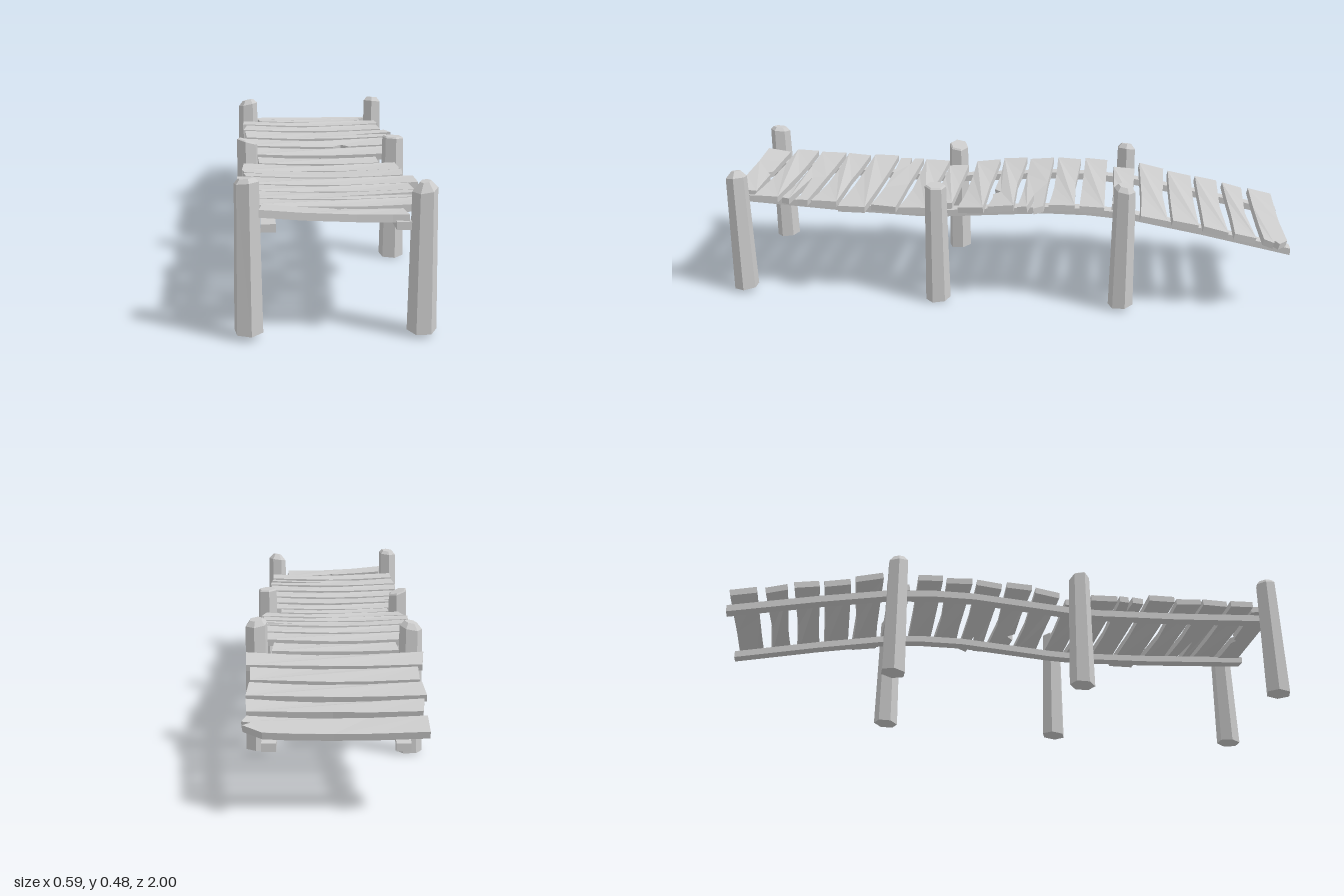
import * as THREE from 'three';

const wood = new THREE.MeshStandardMaterial({ color: 0xcccccc, flatShading: true });

// underside of the walkway as [z, y], front to back
const railLine = [[1, 0.333], [0.9, 0.326], [0.6, 0.308], [0.3, 0.297], [0.2, 0.3], [0, 0.315],
  [-0.15, 0.326], [-0.3, 0.325], [-0.45, 0.313], [-0.7, 0.268], [-1, 0.207]];
const RAIL = 0.024;

function railY(z) {
  for (let i = 0; i < railLine.length - 1; i++) {
    const [za, ya] = railLine[i], [zb, yb] = railLine[i + 1];
    if (z >= zb) return ya + (yb - ya) * (z - za) / (zb - za);
  }
  return railLine.at(-1)[1];
}

function seeded(seed) {
  return () => {
    seed = (seed * 16807) % 2147483647;
    return (seed / 2147483647) * 2 - 1;
  };
}

// planks: back z, front z, left x, right x, and splits as [x, s] points (s runs to the back)
const planks = [
  [-0.985, -0.895, -0.272, 0.25, { right: [[0.262, -0.012], [0.235, -0.008], [0.258, 0.008], [0.2, 0.043]] }],
  [-0.87, -0.795, -0.265, 0.265],
  [-0.775, -0.69, -0.278, 0.262],
  [-0.675, -0.585, -0.268, 0.262],
  [-0.57, -0.475, -0.288, 0.288],
  [-0.46, -0.38, -0.215, 0.2],
  [-0.355, -0.27, -0.275, 0.258],
  [-0.255, -0.165, -0.265, 0.262],
  [-0.15, -0.06, -0.265, 0.27, { right: [[0.268, -0.012], [0.13, 0.002], [0.288, 0.012]] }],
  [-0.045, 0.045, -0.28, 0.258, { front: [[0.055, -0.043], [0.085, -0.018], [0.112, -0.043]] }],
  [0.06, 0.15, -0.265, 0.26],
  [0.18, 0.255, -0.22, 0.2],
  [0.265, 0.36, -0.272, 0.262],
  [0.37, 0.46, -0.27, 0.26, { left: [[-0.268, 0.01], [-0.2, 0.002], [-0.27, -0.004]] }],
  [0.475, 0.57, -0.29, 0.288],
  [0.585, 0.675, -0.272, 0.262],
  [0.685, 0.78, -0.27, 0.262, { right: [[0.262, -0.02], [0.01, -0.008], [0.262, 0.012]] }],
  [0.795, 0.88, -0.265, 0.262],
  [0.895, 0.988, -0.218, 0.203, { back: [[0.02, 0.041], [0.003, 0.026], [-0.012, 0.041]] }],
];

function makePlank([z0, z1, x0, x1, cut = {}], index) {
  const rnd = seeded(977 + index * 7919);
  rnd();
  const h = (z1 - z0) / 2, zc = (z0 + z1) / 2, skew = rnd() * 0.009;
  const bow = 0.003 + 0.003 * rnd();
  // outline counter-clockwise: front edge, right end, back edge, left end
  const outline = [
    [x0 + skew, -h], [-0.1, -h + bow], ...(cut.front ?? [[0.05, -h + bow * 1.5]]), [0.15, -h + bow],
    [x1 - Math.abs(skew), -h], ...(cut.right ?? []), ...(cut.right && index === 0 ? [] : [[x1 - 0.006 + skew, h]]),
    [0.12, h - bow], ...(cut.back ?? [[0, h - bow * 2]]), [-0.12, h - bow],
    [x0 - skew * 0.5, h], ...(cut.left ?? []),
  ];
  const shape = new THREE.Shape(outline.map(p => new THREE.Vector2(...p)));
  const geo = new THREE.ExtrudeGeometry(shape, { depth: 0.022, bevelEnabled: false, steps: 1 });
  geo.rotateX(-Math.PI / 2);
  // worn boards sag towards the middle
  const pos = geo.attributes.position;
  for (let i = 0; i < pos.count; i++) {
    const x = pos.getX(i);
    pos.setY(i, pos.getY(i) + 0.009 * Math.min(1, (x / 0.25) ** 2) - 0.003);
  }
  const mesh = new THREE.Mesh(geo, wood);
  mesh.name = 'plank';
  const slope = Math.atan2(railY(z1) - railY(z0), z1 - z0);
  mesh.position.set(0, railY(zc) + RAIL + 0.001, zc);
  mesh.rotation.set(-slope + rnd() * 0.02, 0, index === planks.length - 1 ? -0.045 : rnd() * 0.02);
  return mesh;
}

function makeRail(x) {
  const top = railLine.map(([z, y]) => [z, y + RAIL]).reverse();
  const shape = new THREE.Shape([...railLine].reverse().concat(top.reverse()).map(p => new THREE.Vector2(...p)));
  const geo = new THREE.ExtrudeGeometry(shape, { depth: 0.042, bevelEnabled: false });
  geo.rotateY(-Math.PI / 2).translate(x + 0.021, 0, 0);
  const mesh = new THREE.Mesh(geo, wood);
  mesh.name = 'rail';
  return mesh;
}

// posts: x, z, bottom, top, cap chamfer, cap slant in x and z
const posts = [
  [-0.256, 0.942, 0.02, 0.475, 0.013, 0.1, 0.1],
  [0.246, 0.942, 0.013, 0.458, 0.024, 0.15, -0.1],
  [-0.257, 0.225, 0.003, 0.425, 0.005, -0.3, 0.1],
  [0.25, 0.228, 0.003, 0.434, 0.005, -0.05, 0.05],
  [-0.257, -0.428, 0.003, 0.45, 0.018, 0.2, 0.1],
  [0.25, -0.424, 0.012, 0.458, 0.016, -0.1, 0.15],
];

function makePost([x, z, bottom, top, chamfer, slantX, slantZ], index) {
  const profile = [[0, bottom], [0.044, bottom], [0.037, top - chamfer], [0.036 - chamfer * 0.85, top], [0, top]];
  const geo = new THREE.LatheGeometry(profile.map(p => new THREE.Vector2(...p)), 6, index * 0.35 + 0.2);
  const pos = geo.attributes.position;
  for (let i = 0; i < pos.count; i++) {
    const px = pos.getX(i), py = pos.getY(i), pz = pos.getZ(i);
    // uneven saw cuts at both ends
    if (py > 0.3) pos.setY(i, py + px * slantX + pz * slantZ);
    else pos.setY(i, Math.max(0, py - pz * 0.08));
  }
  const mesh = new THREE.Mesh(geo, wood);
  mesh.name = 'post';
  mesh.position.set(x, 0, z);
  return mesh;
}

export function createModel() {
  const model = new THREE.Group();
  model.name = 'boardwalk';
  const deck = new THREE.Group();
  deck.name = 'deck';
  deck.add(...planks.map(makePlank));
  const rails = new THREE.Group();
  rails.name = 'rails';
  rails.add(makeRail(-0.197), makeRail(0.181));
  const piles = new THREE.Group();
  piles.name = 'posts';
  piles.add(...posts.map(makePost));
  model.add(deck, rails, piles);
  return model;
}
